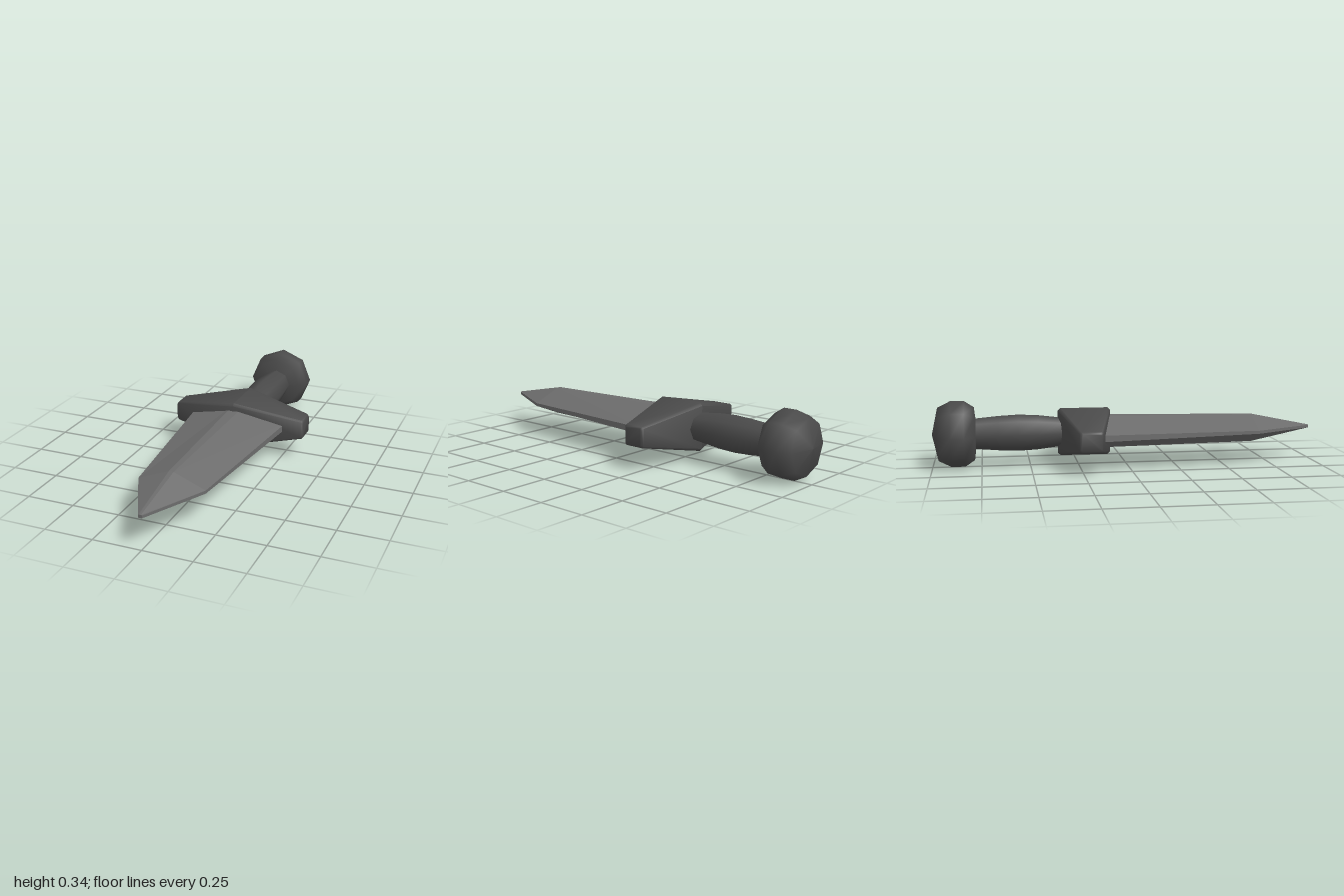
import * as THREE from 'three';
import { toCreasedNormals } from 'three/addons/utils/BufferGeometryUtils.js';

const MID = 0.171; // height of the dagger's long axis

// Skin closed rings of [x, y, z] points, with a flat cap at each end.
// Points run counter-clockwise as seen from the last ring's side.
function loft(rings) {
  const n = rings[0].length, index = [], last = (rings.length - 1) * n;
  for (let r = 0; r < rings.length - 1; r++) {
    for (let j = 0; j < n; j++) {
      const a = r * n + j, b = r * n + (j + 1) % n;
      index.push(a, b, b + n, a, b + n, a + n);
    }
  }
  for (let j = 1; j < n - 1; j++) {
    index.push(0, j + 1, j, last, last + j, last + j + 1);
  }
  const geo = new THREE.BufferGeometry();
  geo.setAttribute('position', new THREE.Float32BufferAttribute(rings.flat(2), 3));
  geo.setIndex(index);
  return geo;
}

// Eight-sided turned part along z, from [radius, z] points
function turned(points) {
  const geo = new THREE.LatheGeometry(points.map(p => new THREE.Vector2(...p)), 8);
  return geo.rotateX(Math.PI / 2);
}

export function createModel() {
  const group = new THREE.Group();
  const dark = new THREE.MeshStandardMaterial({ color: 0x4a4a4a });
  const steel = new THREE.MeshStandardMaterial({ color: 0x6c6c6c, flatShading: true });
  const add = (name, geo, material) => {
    const mesh = new THREE.Mesh(geo, material);
    mesh.name = name;
    mesh.position.y = MID;
    group.add(mesh);
  };

  // Blade: z, half width, half edge thickness, half ridge width, half ridge height
  const blade = [
    [-0.2, 0.264, 0.017, 0.03, 0.084],
    [0.68, 0.173, 0.008, 0.012, 0.073],
    [1.0, 0.01, 0.007, 0.004, 0.008],
  ].map(([z, w, e, rw, rh]) => [
    [w, -e, z], [w, e, z], [rw, rh, z], [-rw, rh, z],
    [-w, e, z], [-w, -e, z], [-rw, -rh, z], [rw, -rh, z],
  ]);
  add('blade', loft(blade), steel);

  // Guard: chamfered block tapering to both ends; x, half height, half depth, chamfer
  const guardZ = -0.2185;
  const guard = [
    [-0.365, 0.044, 0.051, 0.008], [-0.357, 0.052, 0.058, 0.008],
    [0, 0.124, 0.137, 0.013],
    [0.357, 0.052, 0.058, 0.008], [0.365, 0.044, 0.051, 0.008],
  ].map(([x, h, d, c]) => [
    [h, -d + c], [h, d - c], [h - c, d], [-h + c, d],
    [-h, d - c], [-h, -d + c], [-h + c, -d], [h - c, -d],
  ].reverse().map(([y, z]) => [x, y, z + guardZ]).reverse());
  add('guard', toCreasedNormals(loft(guard), 0.9), dark);

  // Grip with a gentle swell
  add('grip', turned([
    [0.08, -0.8], [0.08, -0.77], [0.09, -0.66], [0.095, -0.56],
    [0.09, -0.46], [0.075, -0.34], [0.072, -0.3],
  ]), dark);

  // Faceted round pommel
  add('pommel', turned([
    [0, -1.0], [0.138, -0.97], [0.171, -0.905],
    [0.171, -0.835], [0.138, -0.785], [0, -0.768],
  ]), dark);

  return group;
}
